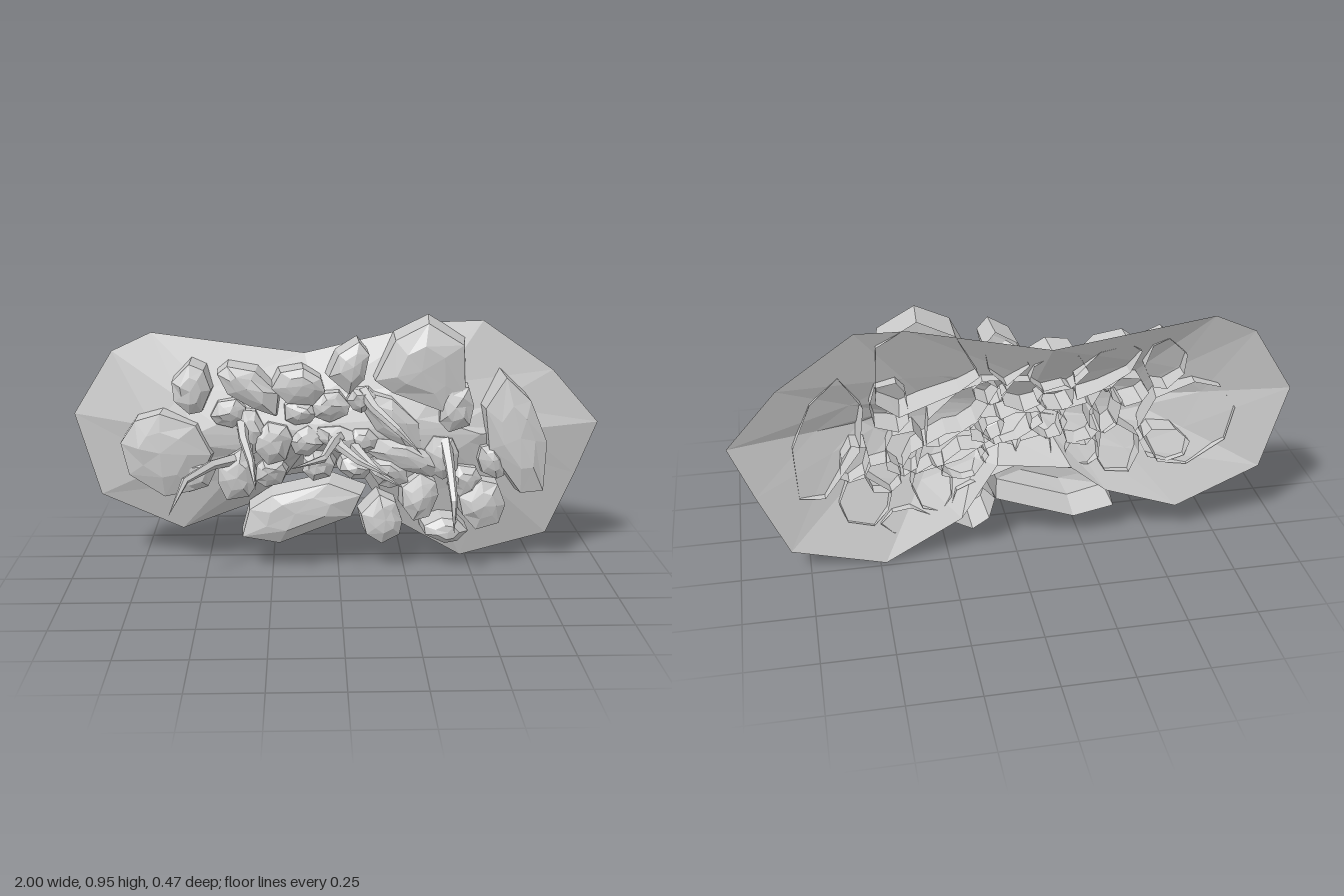
import * as THREE from 'three';

const earth = new THREE.MeshStandardMaterial({ color: 0xcccccc, flatShading: true, side: THREE.DoubleSide });

// Small seeded random generator, returns -1..1
let seed = 11;
const jitter = () => ((seed = (seed * 16807) % 2147483647) / 2147483647) * 2 - 1;

// Surface through equal-length rings of [x, y, z], closed with a fan at the end point
function loft(rings, end) {
  const pos = [];
  const n = rings[0].length;
  const last = rings[rings.length - 1];
  for (let i = 0; i < n; i++) {
    const j = (i + 1) % n;
    for (let k = 0; k < rings.length - 1; k++) {
      const a = rings[k], b = rings[k + 1];
      pos.push(...a[i], ...a[j], ...b[j], ...a[i], ...b[j], ...b[i]);
    }
    pos.push(...last[i], ...last[j], ...end);
  }
  const geo = new THREE.BufferGeometry();
  geo.setAttribute('position', new THREE.Float32BufferAttribute(pos, 3));
  geo.computeVertexNormals();
  return geo;
}

// Faceted stone shell: counter-clockwise outline, flared side, blunt front, open back
function makeRock(outline, front, back) {
  const n = outline.length;
  const cx = outline.reduce((s, p) => s + p[0], 0) / n;
  const cy = outline.reduce((s, p) => s + p[1], 0) / n;
  const dx = jitter() * 0.01, dy = 0.006 + jitter() * 0.006;
  const ring = (scale, z, shift, wobble) => outline.map(([x, y]) => [
    cx + (x - cx) * scale + dx * shift, cy + (y - cy) * scale + dy * shift, z + jitter() * wobble]);
  return loft(
    [ring(1, back, 0, 0), ring(0.93, front - 0.03, 1, 0.006), ring(0.5, front - 0.007, 1.5, 0.007)],
    [cx + dx * 2, cy + dy * 2, front]);
}

function ellipse(cx, cy, rx, ry, turn) {
  const pts = [];
  for (let i = 0; i < 7; i++) {
    const a = (i / 7) * Math.PI * 2 + jitter() * 0.2, r = 1 + jitter() * 0.08;
    const u = Math.cos(a) * rx * r, v = Math.sin(a) * ry * r;
    pts.push([cx + u * Math.cos(turn) - v * Math.sin(turn), cy + u * Math.sin(turn) + v * Math.cos(turn)]);
  }
  return pts;
}

// Tapered five-sided root along a bent path
function makeRoot(points, radius) {
  const path = points.map(p => new THREE.Vector3(...p));
  const rings = path.slice(0, -1).map((p, k) => {
    const dir = path[k + 1].clone().sub(path[Math.max(k - 1, 0)]).normalize();
    const side = new THREE.Vector3(0, 1, 0).cross(dir).normalize();
    const up = dir.clone().cross(side);
    const r = radius * (1 - 0.2 * k);
    return Array.from({ length: 5 }, (_, i) => {
      const a = (i / 5) * Math.PI * 2;
      return p.clone().addScaledVector(side, Math.cos(a) * r).addScaledVector(up, Math.sin(a) * r).toArray();
    });
  });
  return loft(rings, points[points.length - 1]);
}

export function createModel() {
  seed = 11;
  const model = new THREE.Group();
  const add = (name, geo, parent = model) => {
    const mesh = new THREE.Mesh(geo, earth);
    mesh.name = name;
    parent.add(mesh);
  };
  const group = name => {
    const g = new THREE.Group();
    g.name = name;
    model.add(g);
    return g;
  };

  // Shallow earth mound, open at the back
  const rim = [[-1, 0.58], [-0.91, 0.26], [-0.6, 0.12], [-0.33, 0.22], [-0.2, 0.33], [0.07, 0.37], [0.2, 0.16], [0.48, 0],
    [0.815, 0.09], [0.92, 0.33], [1, 0.535], [0.82, 0.74], [0.55, 0.93], [0.37, 0.925], [-0.125, 0.81], [-0.7, 0.89], [-0.85, 0.82]];
  const moundRing = (t, z) => rim.map(([x, y]) => [x + (x * 0.45 - x) * t, y + (0.52 - y) * t, z]);
  add('earthMound', loft([moundRing(0, -0.235), moundRing(0.55, -0.15), moundRing(0.85, -0.1)], [0, 0.52, -0.085]));

  // Large rocks, outlines run clockwise and are reversed below
  const large = [
    [[-0.81, 0.5], [-0.75, 0.59], [-0.65, 0.62], [-0.51, 0.57], [-0.45, 0.45], [-0.53, 0.3], [-0.64, 0.28], [-0.78, 0.37]],
    [[0.13, 0.73], [0.21, 0.89], [0.34, 0.955], [0.48, 0.87], [0.49, 0.66], [0.41, 0.6], [0.2, 0.68]],
    [[0.53, 0.63], [0.61, 0.755], [0.71, 0.66], [0.78, 0.49], [0.77, 0.29], [0.68, 0.28], [0.55, 0.46]],
    [[-0.37, 0.13], [-0.34, 0.24], [-0.25, 0.3], [-0.02, 0.35], [0.11, 0.3], [0.07, 0.21], [-0.22, 0.1]],
    [[-0.45, 0.76], [-0.41, 0.79], [-0.3, 0.77], [-0.21, 0.68], [-0.22, 0.59], [-0.31, 0.62], [-0.41, 0.68]],
    [[-0.05, 0.74], [-0.01, 0.83], [0.07, 0.88], [0.11, 0.83], [0.09, 0.73], [0.03, 0.67]],
  ];
  const largeRocks = group('largeRocks');
  large.forEach((o, i) => add('largeRock', makeRock(o.slice().reverse(), -0.042, i === 1 ? -0.235 : -0.205), largeRocks));

  // Medium rocks: centre x, y, half width, half height, turn
  const medium = [
    [-0.54, 0.7, 0.08, 0.1, 0], [-0.38, 0.37, 0.08, 0.11, -0.2], [0.44, 0.62, 0.075, 0.1, 0],
    [0.3, 0.28, 0.08, 0.1, 0], [0.54, 0.25, 0.095, 0.1, 0], [0.4, 0.15, 0.09, 0.055, 0],
    [0.16, 0.19, 0.085, 0.11, 0.1], [-0.23, 0.49, 0.075, 0.095, 0], [-0.15, 0.7, 0.11, 0.08, -0.3],
  ];
  const mediumRocks = group('mediumRocks');
  medium.forEach(e => add('mediumRock', makeRock(ellipse(...e), -0.045, -0.205), mediumRocks));

  // Small rocks half buried in the middle
  const small = [
    [0.2, 0.57, 0.18, 0.07, -0.7], [0.25, 0.43, 0.17, 0.06, -0.35], [0.18, 0.37, 0.09, 0.06, -0.5],
    [-0.55, 0.37, 0.1, 0.07, 0.2], [-0.03, 0.62, 0.08, 0.06, 0.2], [-0.07, 0.4, 0.07, 0.06, 0],
    [-0.12, 0.5, 0.07, 0.06, 0.5], [0.06, 0.39, 0.07, 0.05, -0.2], [-0.33, 0.53, 0.06, 0.1, 0.2],
    [0.57, 0.41, 0.05, 0.08, 0.4], [0.01, 0.5, 0.11, 0.055, -0.3], [0.4, 0.43, 0.07, 0.1, 0.2],
    [-0.25, 0.37, 0.07, 0.06, 0], [0.47, 0.34, 0.07, 0.07, 0], [-0.41, 0.6, 0.07, 0.06, 0.4],
    [-0.15, 0.6, 0.07, 0.05, 0], [0.1, 0.5, 0.07, 0.05, -0.6], [0.09, 0.65, 0.06, 0.05, 0.3],
  ];
  const smallRocks = group('smallRocks');
  small.forEach(e => add('smallRock', makeRock(ellipse(...e), -0.058, -0.2), smallRocks));

  // Bent roots reaching forward, from base to tip
  const roots = [
    [[-0.36, 0.44, -0.1], [-0.47, 0.43, -0.03], [-0.56, 0.4, 0.07], [-0.62, 0.28, 0.125]],
    [[-0.36, 0.58, -0.1], [-0.35, 0.53, -0.02], [-0.32, 0.47, 0.08], [-0.3, 0.4, 0.21]],
    [[0.01, 0.52, -0.1], [-0.02, 0.52, 0], [-0.06, 0.5, 0.15], [-0.18, 0.485, 0.235]],
    [[-0.03, 0.53, -0.1], [0.01, 0.5, 0], [0.07, 0.47, 0.08], [0.2, 0.42, 0.15]],
    [[0.09, 0.69, -0.1], [0.13, 0.64, -0.03], [0.21, 0.58, 0.06], [0.3, 0.49, 0.08]],
    [[0.05, 0.49, -0.1], [0.08, 0.47, -0.02], [0.14, 0.42, 0.06], [0.23, 0.37, 0.09]],
    [[0.4, 0.5, -0.1], [0.41, 0.42, -0.02], [0.42, 0.31, 0.06], [0.42, 0.19, 0.08]],
  ];
  const rootGroup = group('roots');
  roots.forEach(p => add('root', makeRoot(p, 0.024), rootGroup));

  return model;
}
